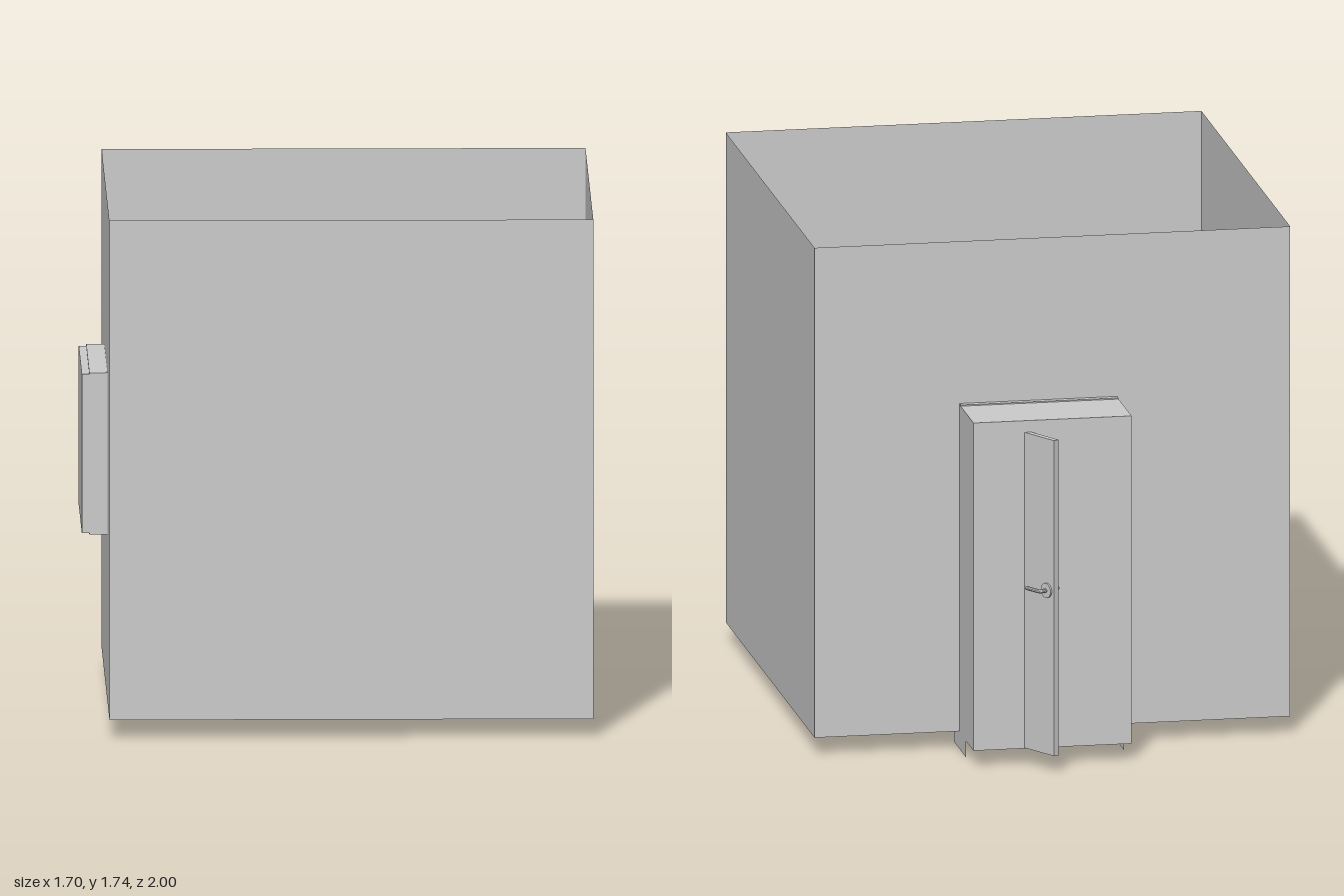
import * as THREE from 'three';

const material = new THREE.MeshStandardMaterial({ color: 0xcccccc, side: THREE.DoubleSide, flatShading: true });

function add(parent, name, geometry, x = 0, y = 0, z = 0) {
  const mesh = new THREE.Mesh(geometry, material);
  mesh.name = name;
  mesh.position.set(x, y, z);
  parent.add(mesh);
  return mesh;
}

// Box given by its lower and upper corners
function box(parent, name, [x0, y0, z0], [x1, y1, z1]) {
  return add(parent, name, new THREE.BoxGeometry(x1 - x0, y1 - y0, z1 - z0),
    (x0 + x1) / 2, (y0 + y1) / 2, (z0 + z1) / 2);
}

export function createModel() {
  const model = new THREE.Group();
  model.name = 'room';

  // Thin-walled room without a ceiling
  const left = 0.845, right = -0.765, front = 1, back = -0.613, floorY = 0.06, topY = 1.74;
  const w = left - right, d = front - back, h = topY - floorY;
  const cx = (left + right) / 2, cy = (topY + floorY) / 2, cz = (front + back) / 2;
  add(model, 'floor', new THREE.PlaneGeometry(w, d), cx, floorY, cz).rotation.x = -Math.PI / 2;
  add(model, 'frontWall', new THREE.PlaneGeometry(w, h), cx, cy, front);
  add(model, 'backWall', new THREE.PlaneGeometry(w, h), cx, cy, back).rotation.y = Math.PI;
  add(model, 'leftWall', new THREE.PlaneGeometry(d, h), left, cy, cz).rotation.y = Math.PI / 2;
  add(model, 'rightWall', new THREE.PlaneGeometry(d, h), right, cy, cz).rotation.y = -Math.PI / 2;

  // Door surround passing through the back wall, with a slightly taller casing
  const doorway = new THREE.Group();
  doorway.name = 'doorway';
  model.add(doorway);
  box(doorway, 'doorSurround', [-0.18, 0.056, -0.87], [0.355, 1.18, -0.55]);
  box(doorway, 'doorCasing', [-0.179, 0.062, -0.635], [0.354, 1.184, -0.551]);
  for (const x of [-0.18, 0.355]) {
    add(doorway, 'surroundFoot', new THREE.PlaneGeometry(0.21, 0.06), x, 0.03, -0.625).rotation.y = Math.PI / 2;
  }

  // Door leaf swung open about its hinge, local x running along the leaf
  const door = new THREE.Group();
  door.name = 'door';
  door.position.set(0.355, 0, -0.55);
  door.rotation.y = Math.PI * 2 / 3;
  model.add(door);
  box(door, 'doorLeaf', [0, 0.058, -0.01], [0.514, 1.14, 0.01]);

  // Matching handles on both faces
  for (const s of [-1, 1]) {
    add(door, 'handleRosette', new THREE.CylinderGeometry(0.025, 0.025, 0.006, 24), 0.478, 0.62, s * 0.013)
      .rotation.x = Math.PI / 2;
    const path = new THREE.CurvePath();
    const bend = new THREE.QuadraticBezierCurve3(
      new THREE.Vector3(0.478, 0.62, s * 0.032),
      new THREE.Vector3(0.478, 0.62, s * 0.04),
      new THREE.Vector3(0.468, 0.62, s * 0.04));
    path.add(new THREE.LineCurve3(new THREE.Vector3(0.478, 0.62, s * 0.01), bend.v0));
    path.add(bend);
    path.add(new THREE.LineCurve3(bend.v2, new THREE.Vector3(0.41, 0.62, s * 0.04)));
    add(door, 'handleLever', new THREE.TubeGeometry(path, 24, 0.007, 10));
    add(door, 'leverTip', new THREE.SphereGeometry(0.007, 10, 8), 0.41, 0.62, s * 0.04);
  }

  // Window block passing through the right wall, with a raised inner frame
  const win = new THREE.Group();
  win.name = 'window';
  model.add(win);
  box(win, 'windowFrame', [-0.825, 0.618, -0.09], [-0.53, 1.162, 0.555]);
  box(win, 'windowPanel', [-0.85, 0.623, -0.087], [-0.825, 1.157, 0.552]);

  return model;
}
